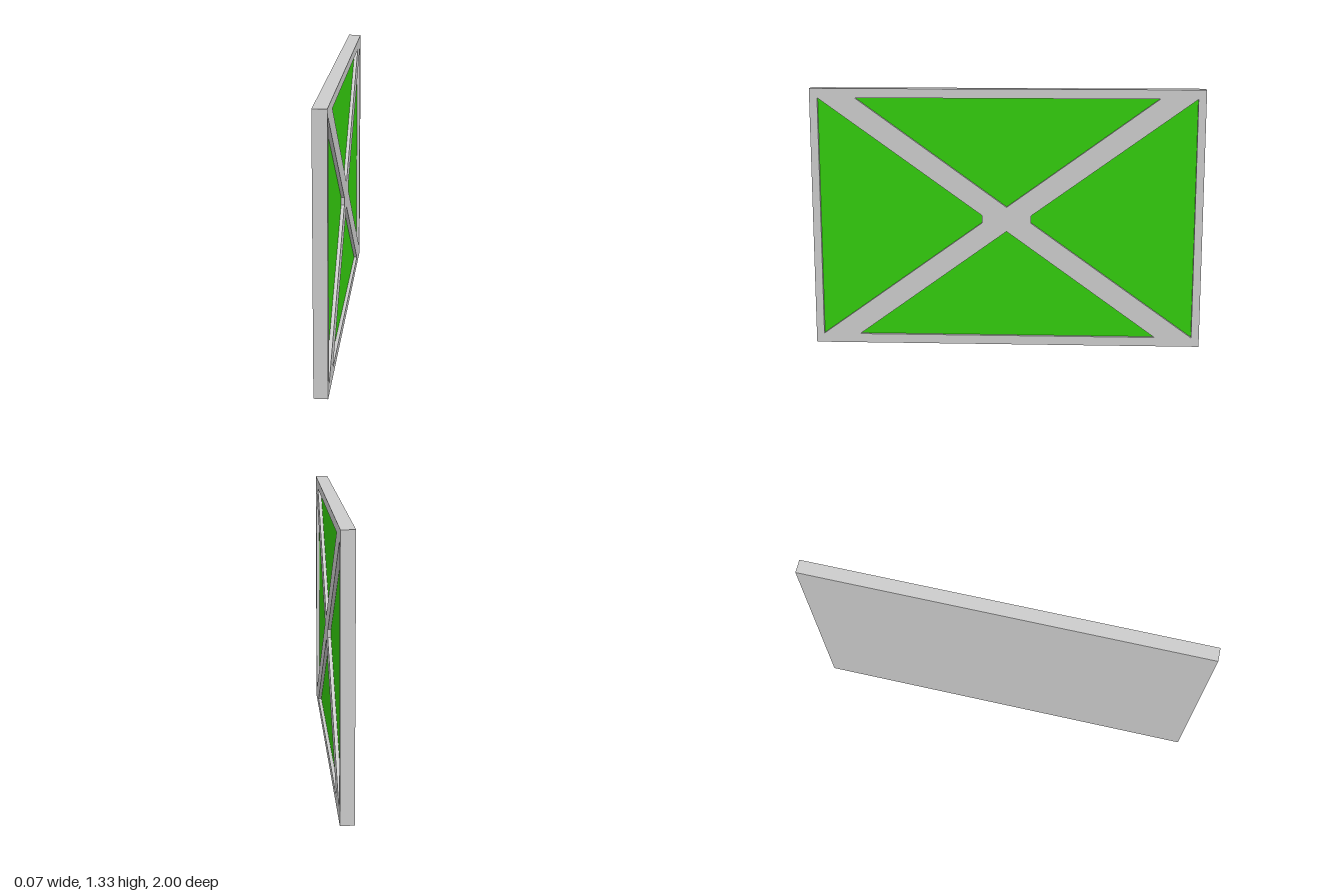
import * as THREE from 'three';

const LENGTH = 2, HEIGHT = 1.334, THICK = 0.067, RECESS = 0.018;

// Polygon around the panel centre, drawn in the panel's own plane
function polygon(points, Type = THREE.Shape) {
  return new Type(points.map(([a, b]) => new THREE.Vector2(a, b)));
}

export function createModel() {
  const model = new THREE.Group();
  model.name = 'bracedPanel';
  const grey = new THREE.MeshStandardMaterial({ color: 0xcccccc, flatShading: true });
  const green = new THREE.MeshStandardMaterial({ color: 0x33cc0d, flatShading: true });

  // Shapes are drawn upright facing +z, then turned to face +x
  const add = (geometry, material, name, depth) => {
    geometry.translate(0, HEIGHT / 2, depth).rotateY(Math.PI / 2);
    const mesh = new THREE.Mesh(geometry, material);
    mesh.name = name;
    model.add(mesh);
  };

  // Openings between the rim and the diagonal braces
  const openings = {};
  for (const [s, vertical, side] of [[1, 'upper', 'back'], [-1, 'lower', 'front']]) {
    openings[vertical] = [[-0.77, 0.62 * s], [0.77, 0.62 * s], [0, 0.063 * s]];
    openings[side] = [[0.96 * s, 0.62], [0.96 * s, -0.62], [0.15 * s, -0.037],
      [0.126 * s, -0.02], [0.126 * s, 0.02], [0.15 * s, 0.037]];
  }

  // Solid backing
  const plate = THICK - RECESS;
  add(new THREE.BoxGeometry(LENGTH, HEIGHT, plate), grey, 'backPlate', -RECESS / 2);

  // Raised rim and crossed braces in one piece
  const w = LENGTH / 2, h = HEIGHT / 2;
  const frame = polygon([[-w, -h], [w, -h], [w, h], [-w, h]]);
  frame.holes = Object.values(openings).map((p) => polygon(p, THREE.Path));
  const floor = THICK / 2 - RECESS;
  add(new THREE.ExtrudeGeometry(frame, { depth: RECESS, bevelEnabled: false }), grey, 'crossBracedFrame', floor);

  // Coloured infill at the bottom of each opening
  for (const [name, points] of Object.entries(openings)) {
    add(new THREE.ShapeGeometry(polygon(points)), green, `${name}Infill`, floor + 0.001);
  }
  return model;
}
